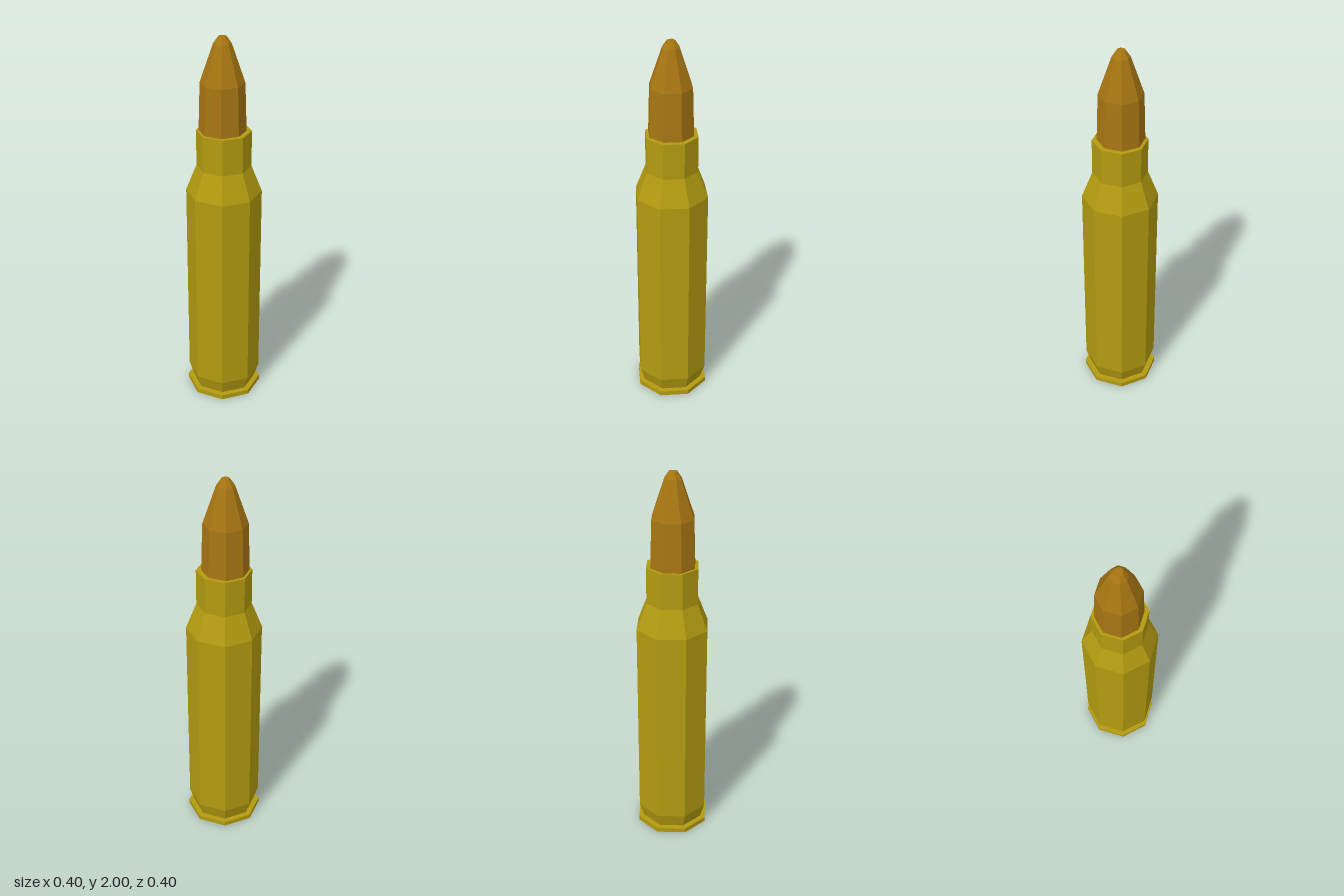
import * as THREE from 'three';

// Eight-sided turned part from [radius, height] pairs, listed bottom to top
function turned(name, profile, color) {
  const points = profile.map(([r, y]) => new THREE.Vector2(r, y));
  const material = new THREE.MeshStandardMaterial({ color, flatShading: true });
  const mesh = new THREE.Mesh(new THREE.LatheGeometry(points, 8), material);
  mesh.name = name;
  return mesh;
}

export function createModel() {
  const group = new THREE.Group();
  group.name = 'cartridge';

  // Case: rim, extractor groove, body, shoulder, neck and flat mouth
  const casing = turned('casing', [
    [0, 0], [0.2, 0], [0.2, 0.026], [0.17, 0.026],
    [0.195, 0.105], [0.195, 1.19], [0.14, 1.33], [0.14, 1.52], [0, 1.52],
  ], 0xb39b10);

  // Bullet: seated in the neck, slightly off the case axis
  const bullet = turned('bullet', [
    [0, 1.45], [0.12, 1.45], [0.12, 1.52], [0.112, 1.77],
    [0.045, 1.965], [0.021, 2], [0, 2],
  ], 0xa87612);
  bullet.position.x = -0.007;

  group.add(casing, bullet);
  return group;
}
